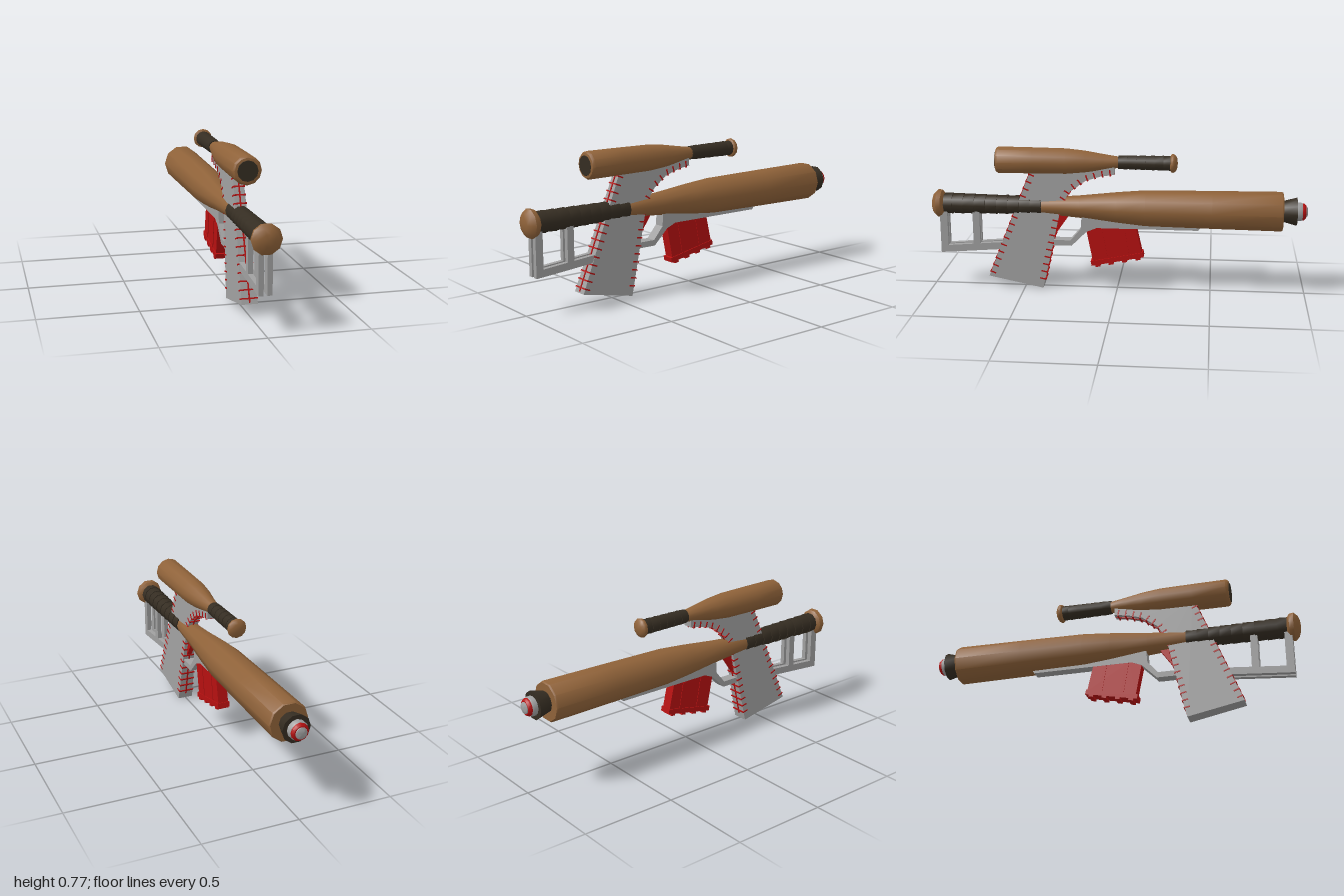
import * as THREE from 'three';
import { toCreasedNormals } from 'three/addons/utils/BufferGeometryUtils.js';

const material = (name, color) => {
  const m = new THREE.MeshStandardMaterial({ color });
  m.name = name;
  return m;
};

export function createModel() {
  const wood = material('wood', 0x8f6239);
  const tape = material('dark tape', 0x352d22);
  const metal = material('grey metal', 0xa0a0a0);
  const red = material('red', 0xb51010);
  const model = new THREE.Group();

  const add = (name, geometry, mat, parent = model) => {
    const mesh = new THREE.Mesh(geometry, mat);
    mesh.name = name;
    parent.add(mesh);
    return mesh;
  };

  // Turned part along z; points are [z, radius] with z increasing
  const turned = (name, points, y, sides, mat, turn = 0) => {
    const g = new THREE.LatheGeometry(points.map(([z, r]) => new THREE.Vector2(r, z)), sides);
    g.rotateY(turn).rotateX(Math.PI / 2);
    const mesh = add(name, toCreasedNormals(g, 0.7), mat);
    mesh.position.y = y;
    return mesh;
  };

  // Side profile of [z, y] points, extruded across x
  const slab = (name, points, halfWidth, mat, x = 0, parent = model) => {
    const shape = new THREE.Shape(points.map(([z, y]) => new THREE.Vector2(z, y)));
    const g = new THREE.ExtrudeGeometry(shape, { depth: 2 * halfWidth, bevelEnabled: false });
    g.rotateY(-Math.PI / 2).translate(halfWidth + x, 0, 0);
    return add(name, g, mat, parent);
  };

  // Overlapping tape wraps as a shallow saw-tooth profile
  const wraps = (z0, z1, r0, r1, count) => {
    const pts = [[z0, 0]];
    for (let i = 0; i < count; i++) {
      const a = z0 + (z1 - z0) * i / count;
      const b = z0 + (z1 - z0) * (i + 1) / count;
      const r = r0 + (r1 - r0) * i / count;
      pts.push([a, r + 0.002], [b, r - 0.001]);
    }
    return [...pts, [z1, 0]];
  };

  // Large lower bat, barrel pointing to -z
  const Q = Math.PI / 2;
  turned('lowerBatBarrel', [[-0.87, 0], [-0.87, 0.099], [-0.862, 0.104], [-0.5, 0.1], [-0.15, 0.095],
    [0, 0.082], [0.2, 0.06], [0.42, 0.042], [0.42, 0]], 0.462, 10, wood, Q);
  turned('lowerBatGrip', wraps(0.405, 0.945, 0.047, 0.055, 9), 0.464, 10, tape, Q);
  turned('lowerBatKnob', [[0.925, 0], [0.93, 0.052], [0.945, 0.071], [0.968, 0.075],
    [0.988, 0.055], [0.997, 0.03], [1, 0]], 0.463, 10, wood, Q);

  // Muzzle flare and nested tip
  turned('muzzleFlare', [[-0.942, 0], [-0.942, 0.074], [-0.86, 0.052], [-0.86, 0]], 0.464, 10, tape, Q);
  turned('muzzleCollar', [[-0.97, 0], [-0.97, 0.046], [-0.962, 0.05], [-0.93, 0.05]], 0.464, 12, metal);
  turned('muzzleRing', [[-0.988, 0], [-0.988, 0.036], [-0.978, 0.045], [-0.965, 0.046]], 0.464, 12, red);
  turned('muzzleTip', [[-1, 0], [-0.998, 0.018], [-0.992, 0.03], [-0.98, 0.033]], 0.464, 12, metal);

  // Small upper bat, barrel pointing to +z
  turned('upperBatBarrel', [[-0.01, 0], [-0.01, 0.03], [0.08, 0.044], [0.17, 0.059], [0.27, 0.069],
    [0.45, 0.071], [0.63, 0.072], [0.642, 0.064], [0.645, 0.05], [0.645, 0]], 0.709, 12, wood);
  turned('upperBatEndCap', [[0.64, 0.053], [0.647, 0.051], [0.647, 0]], 0.709, 12, tape);
  turned('upperBatGrip', wraps(-0.29, -0.005, 0.039, 0.036, 6), 0.709, 12, tape);
  turned('upperBatKnob', [[-0.316, 0], [-0.312, 0.03], [-0.302, 0.046], [-0.293, 0.051],
    [-0.283, 0.049], [-0.275, 0.036], [-0.275, 0]], 0.709, 12, wood);

  // Handle: one tapering slab that joins both bats
  const halfWidthAt = (y) => 0.042 - 0.025 * y;
  const backEdge = [[0.40, 0.01], [0.31, 0.417], [0.292, 0.485], [0.25, 0.55], [0.17, 0.61],
    [0.09, 0.635], [0.015, 0.647]];
  const handle = slab('handle', [[0.695, 0.07], ...backEdge, [0.015, 0.69], [0.447, 0.69]], 1, metal);
  const pos = handle.geometry.attributes.position;
  for (let i = 0; i < pos.count; i++) pos.setX(i, pos.getX(i) * halfWidthAt(pos.getY(i)));
  handle.geometry.computeVertexNormals();

  // Stitching: cross bars that wrap onto the sides, plus a centre thread
  const stitching = (name, points, count, side) => {
    const group = new THREE.Group();
    group.name = name;
    model.add(group);
    const path = new THREE.CurvePath();
    const vecs = points.map(([z, y]) => new THREE.Vector2(z, y));
    for (let i = 1; i < vecs.length; i++) {
      path.add(new THREE.LineCurve(vecs[i - 1], vecs[i]));
      const d = vecs[i].clone().sub(vecs[i - 1]);
      const mid = vecs[i].clone().add(vecs[i - 1]).multiplyScalar(0.5);
      const thread = add('thread', new THREE.BoxGeometry(0.007, 0.008, d.length()), red, group);
      thread.position.set(0, mid.y, mid.x);
      thread.rotation.x = -Math.atan2(d.y, d.x);
    }
    for (let i = 0; i < count; i++) {
      const u = (i + 0.5) / count;
      const p = path.getPointAt(u);
      const t = path.getTangentAt(u);
      const inward = new THREE.Vector2(-t.y, t.x).multiplyScalar(side);
      const bar = add('stitch', new THREE.BoxGeometry(2 * halfWidthAt(p.y) + 0.005, 0.007, 0.034), red, group);
      bar.position.set(0, p.y + inward.y * 0.012, p.x + inward.x * 0.012);
      bar.rotation.x = -Math.atan2(inward.y, inward.x);
    }
  };
  stitching('frontStitching', [[0.692, 0.077], [0.459, 0.66]], 15, 1);
  stitching('backStitching', [[0.393, 0.04], ...backEdge.slice(1)], 19, -1);

  // Twin open frames under the grip
  for (const side of [1, -1]) {
    const frame = new THREE.Group();
    frame.name = side > 0 ? 'leftStockFrame' : 'rightStockFrame';
    model.add(frame);
    const x = side * 0.021;
    slab('endPost', [[0.955, 0.195], [0.915, 0.198], [0.915, 0.44], [0.955, 0.44]], 0.0125, metal, x, frame);
    slab('bottomRail', [[0.925, 0.197], [0.58, 0.225], [0.58, 0.264], [0.925, 0.235]], 0.0125, metal, x, frame);
    slab('middlePost', [[0.777, 0.23], [0.74, 0.23], [0.74, 0.44], [0.777, 0.44]], 0.0125, metal, x, frame);
  }

  // Trigger guard running into the rail below the barrel
  slab('triggerGuardAndRail', [[0.37, 0.25], [0.245, 0.25], [0.165, 0.33], [0.11, 0.353], [-0.43, 0.353],
    [-0.445, 0.375], [0, 0.4], [0.19, 0.41], [0.195, 0.345], [0.25, 0.28], [0.37, 0.28]], 0.029, metal);
  slab('trigger', [[0.345, 0.425], [0.335, 0.305], [0.262, 0.41], [0.255, 0.425]], 0.014, red);

  // Magazine with side ribs and a bumpy base plate
  slab('magazine', [[0.165, 0.34], [0.13, 0.165], [-0.133, 0.215], [-0.1, 0.36], [0.1, 0.36]], 0.028, red);
  for (const z of [0.075, -0.045]) {
    slab('magazineRib', [[z + 0.02, 0.35], [z - 0.01, 0.18], [z - 0.025, 0.183], [z + 0.005, 0.35]], 0.031, red);
  }
  const base = new THREE.Group();
  base.name = 'magazineBase';
  base.position.set(0, 0.182, 0);
  base.rotation.x = Math.atan2(0.055, 0.27);
  model.add(base);
  add('basePlate', new THREE.BoxGeometry(0.066, 0.026, 0.285), red, base);
  for (const z of [-0.11, -0.037, 0.037, 0.11]) {
    add('baseBump', new THREE.BoxGeometry(0.066, 0.014, 0.026), red, base).position.set(0, -0.017, z);
  }
  return model;
}
